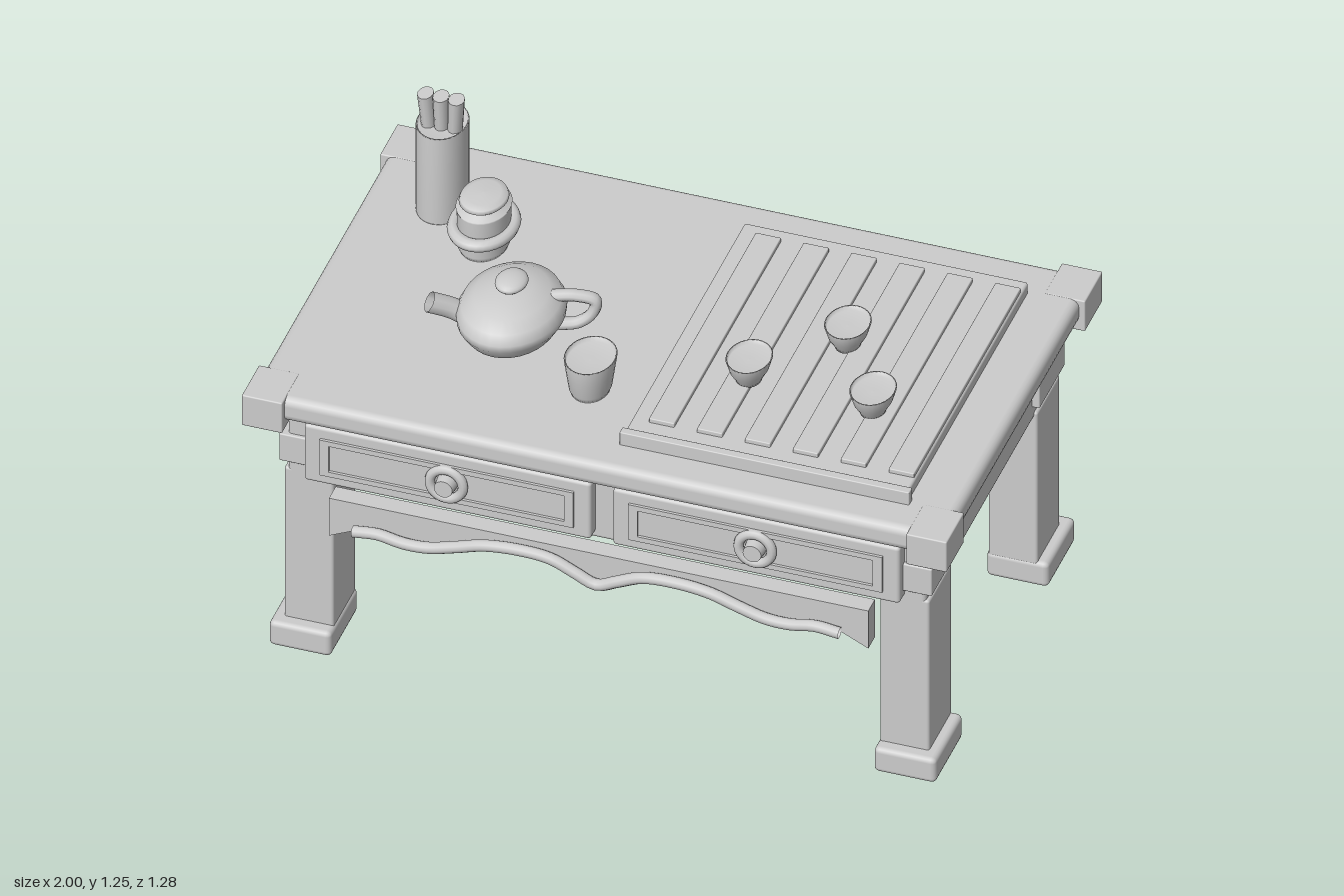
import * as THREE from 'three';
import { RoundedBoxGeometry } from 'three/addons/geometries/RoundedBoxGeometry.js';

const clay = new THREE.MeshStandardMaterial({ color: 0xcccccc, side: THREE.DoubleSide });
clay.name = 'lightGrey';

const V = (x, y, z) => new THREE.Vector3(x, y, z);

export function createModel() {
  const model = new THREE.Group();
  model.name = 'teaTable';

  const add = (name, geometry, parent = model) => {
    const mesh = new THREE.Mesh(geometry, clay);
    mesh.name = name;
    parent.add(mesh);
    return mesh;
  };
  // Box given by its minimum and maximum on each axis, with rounded edges
  const block = (name, [x0, x1], [y0, y1], [z0, z1], r = 0.008) => {
    const mesh = add(name, new RoundedBoxGeometry(x1 - x0, y1 - y0, z1 - z0, 2, r));
    mesh.position.set((x0 + x1) / 2, (y0 + y1) / 2, (z0 + z1) / 2);
    return mesh;
  };
  const span = (s, a, b) => (s > 0 ? [a, b] : [-b, -a]);
  // Crockery is oval: wider front to back than side to side
  const ware = (name, x, y, z) => {
    const g = new THREE.Group();
    g.name = name;
    g.position.set(x, y, z);
    g.scale.z = 1.28;
    model.add(g);
    return g;
  };
  const lathe = (name, points, parent) =>
    add(name, new THREE.LatheGeometry(points.map(p => new THREE.Vector2(...p)), 32), parent);
  const tube = (name, points, r, parent, segments = 24) =>
    add(name, new THREE.TubeGeometry(new THREE.CatmullRomCurve3(points), segments, r, 10), parent);

  // Table top and case
  block('tableTop', [-0.983, 0.983], [0.795, 0.872], [-0.618, 0.618], 0.025);
  block('case', [-0.905, 0.905], [0.56, 0.8], [-0.535, 0.535], 0.012);

  // Corners, legs and feet
  for (const sx of [-1, 1]) for (const sz of [-1, 1]) {
    block('cornerCap', span(sx, 0.885, 1), [0.772, 0.873], span(sz, 0.495, 0.638), 0.004);
    block('cornerBracket', span(sx, 0.775, 0.926), [0.607, 0.697], span(sz, 0.337, 0.546), 0.004);
    block('leg', span(sx, 0.775, 0.915), [0.04, 0.58], span(sz, 0.35, 0.535));
    block('foot', span(sx, 0.77, 0.946), [0, 0.08], span(sz, 0.347, 0.574), 0.015);
  }

  // Drawers with a moulded frame and a round pull
  const rect = (path, w, h) => path.moveTo(-w, -h).lineTo(w, -h).lineTo(w, h).lineTo(-w, h).closePath();
  for (const s of [-1, 1]) {
    const x = s * 0.438, y = 0.675;
    block('drawerFront', [x - 0.407, x + 0.407], [0.582, 0.769], [0.52, 0.576], 0.01);
    const frame = rect(new THREE.Shape(), 0.36, 0.059);
    frame.holes.push(rect(new THREE.Path(), 0.334, 0.043));
    add('drawerFrame', new THREE.ExtrudeGeometry(frame, { depth: 0.012, bevelEnabled: false }))
      .position.set(x, y, 0.572);
    add('pullRing', new THREE.TorusGeometry(0.047, 0.014, 10, 32)).position.set(x, y, 0.583);
    const knob = add('pullKnob', new THREE.CylinderGeometry(0.026, 0.03, 0.04, 24));
    knob.rotation.x = Math.PI / 2;
    knob.position.set(x, y, 0.59);
  }

  // Wavy skirt board with a raised bead along its lower edge
  const half = [[0.06, 0.495], [0.13, 0.525], [0.22, 0.532], [0.32, 0.522], [0.4, 0.497],
    [0.48, 0.475], [0.55, 0.473], [0.62, 0.485], [0.69, 0.478]];
  const wave = [...half.map(([x, y]) => [-x, y]).reverse(), [0, 0.47], ...half];
  const waveCurve = new THREE.CatmullRomCurve3(wave.map(([x, y]) => V(x, y, 0)));
  const skirt = new THREE.Shape();
  skirt.moveTo(0.765, 0.558).lineTo(-0.765, 0.558).lineTo(-0.765, 0.432);
  for (const p of waveCurve.getPoints(60)) skirt.lineTo(p.x, p.y - 0.01);
  skirt.lineTo(0.765, 0.432);
  add('skirtBoard', new THREE.ExtrudeGeometry(skirt, { depth: 0.055, bevelEnabled: false }))
    .position.z = 0.545;
  tube('skirtBead', wave.map(([x, y]) => V(x, y, 0.618)), 0.017, model, 80);

  // Slatted tea tray
  block('trayBase', [0.037, 0.842], [0.865, 0.906], [-0.488, 0.484], 0.008);
  block('trayLip', [0.028, 0.85], [0.865, 0.913], [0.486, 0.512], 0.003);
  for (let i = 0; i < 6; i++) {
    const x = 0.085 + i * 0.136;
    block('traySlat', [x, x + 0.072], [0.9, 0.919], [-0.44, 0.435], 0.003);
  }

  // Small tea cups on the tray, filled nearly to the rim
  for (const [x, z] of [[0.28, 0.175], [0.48, -0.055], [0.64, 0.2]]) {
    lathe('teaCup', [[0, 0], [0.034, 0], [0.038, 0.012], [0.052, 0.038], [0.062, 0.073],
      [0.058, 0.073], [0.055, 0.062], [0, 0.064]], ware('smallCup', x, 0.916, z));
  }
  // Larger cup on the table
  lathe('mug', [[0, 0], [0.05, 0], [0.057, 0.02], [0.064, 0.07], [0.07, 0.115],
    [0.066, 0.115], [0.063, 0.102], [0, 0.104]], ware('largeCup', -0.125, 0.87, 0.305));

  // Teapot
  const pot = ware('teapot', -0.403, 0.87, 0.15);
  lathe('teapotBody', [[0, 0], [0.07, 0], [0.085, 0.012], [0.122, 0.042], [0.143, 0.078],
    [0.145, 0.1], [0.132, 0.127], [0.1, 0.15], [0.055, 0.167], [0, 0.172]], pot);
  const lidKnob = add('lidKnob', new THREE.SphereGeometry(0.044, 24, 12), pot);
  lidKnob.scale.y = 0.44;
  lidKnob.position.y = 0.186;
  tube('teapotSpout', [V(-0.11, 0.07, 0.03), V(-0.15, 0.1, 0.045), V(-0.2, 0.135, 0.075)], 0.026, pot);
  tube('teapotHandle', [V(0.1, 0.135, -0.03), V(0.16, 0.137, -0.045), V(0.212, 0.12, -0.058),
    V(0.205, 0.08, -0.055), V(0.17, 0.05, -0.045), V(0.12, 0.045, -0.03)], 0.016, pot, 32);

  // Lidded jar with a ring around its body
  const jar = ware('lidJar', -0.605, 0.87, -0.207);
  lathe('jarBody', [[0, 0], [0.062, 0], [0.07, 0.02], [0.071, 0.135], [0.074, 0.143],
    [0.05, 0.15], [0.058, 0.155], [0.066, 0.163], [0.062, 0.172], [0.045, 0.178], [0, 0.18]], jar);
  const ring = add('jarRing', new THREE.TorusGeometry(0.08, 0.017, 10, 32), jar);
  ring.rotation.x = Math.PI / 2;
  ring.position.y = 0.075;

  // Brush holder with three leaning brushes
  const holder = ware('brushHolder', -0.767, 0.87, -0.335);
  lathe('holderBody', [[0, 0], [0.068, 0], [0.07, 0.006], [0.07, 0.286], [0.066, 0.288],
    [0.063, 0.275], [0, 0.274]], holder);
  for (let i = -1; i <= 1; i++) {
    const brush = add('brush', new THREE.CylinderGeometry(0.022, 0.018, 0.2, 12), holder);
    brush.position.set(i * 0.038, 0.28, 0.004);
    brush.rotation.set(0.06, 0, -i * 0.06);
  }

  return model;
}
